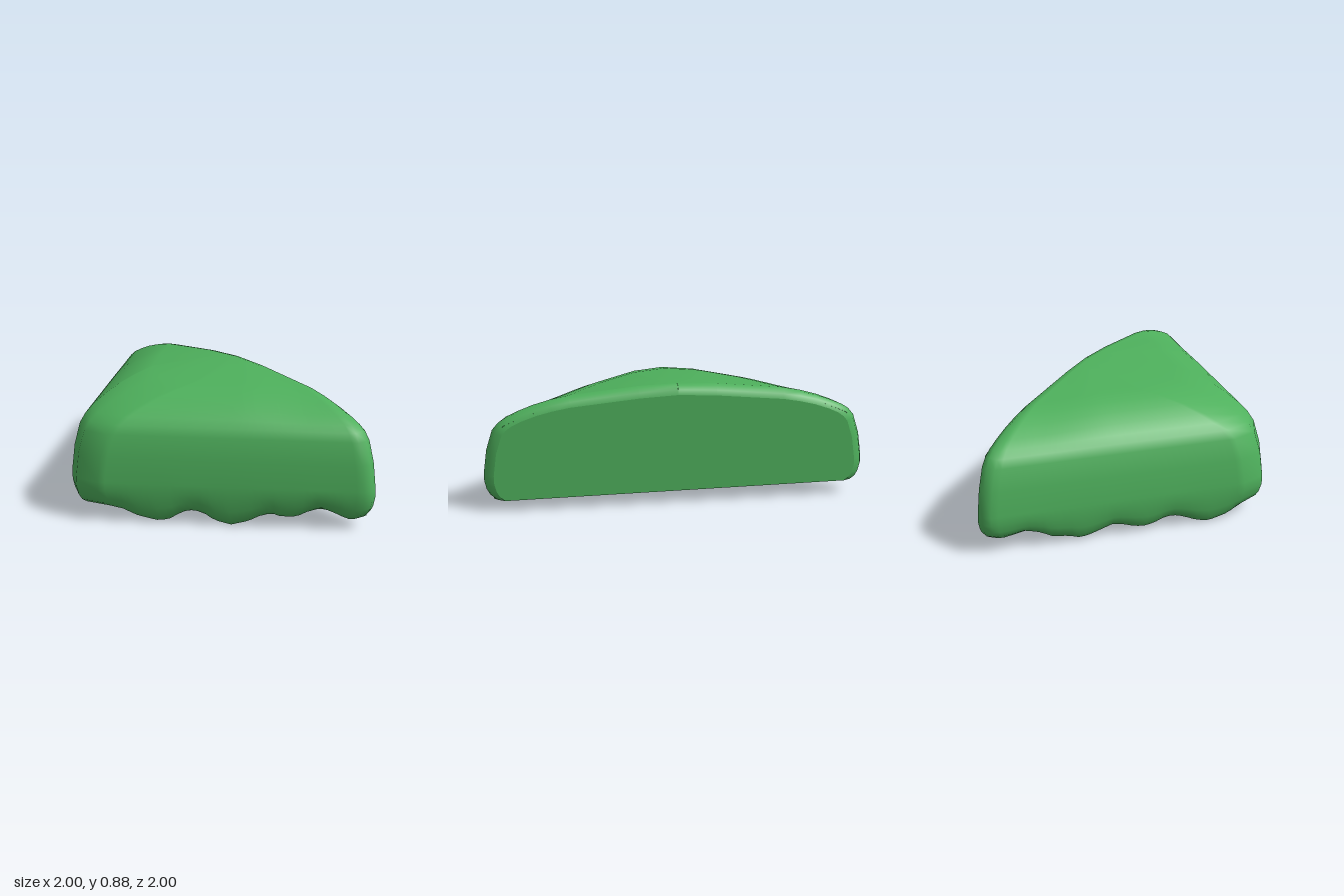
import * as THREE from 'three';
import { mergeVertices } from 'three/addons/utils/BufferGeometryUtils.js';

const green = new THREE.MeshStandardMaterial({ color: 0x4eb05c, side: THREE.DoubleSide });
green.name = 'leaf green';

const R = 0.07;    // rounding where the walls meet the diagonal cut
const CUT = 0.1;   // diagonal cut plane: x - z = CUT
const WALL = 36, ARC = 1, BEVEL = 3;

// Cross-section [inset from wall, height], bottom to top
const OUTER = [[0.05, 0], [0.025, 0.04], [0.01, 0.1], [0, 0.19], [0, 0.28], [0.018, 0.45], [0.05, 0.59], [0.08, 0.645],
  [0.12, 0.69], [0.18, 0.735], [0.26, 0.782], [0.35, 0.818], [0.45, 0.845], [0.8, 0.875], [1, 0.885]];
const INNER = [[0.08, 0], [0.07, 0.1], [0.06, 0.28], [0.075, 0.44], [0.11, 0.56], [0.17, 0.64],
  [0.3, 0.73], [0.47, 0.785], [0.8, 0.815], [1.045, 0.825]];

// Wavy hem heights [position along wall, height]
const SIDE_HEM = [[-0.95, 0.11], [-0.85, 0.1], [-0.7, 0.13], [-0.6, 0.1], [-0.53, 0.06], [-0.42, 0.045], [-0.34, 0.02],
  [-0.28, 0.03], [-0.12, 0.085], [-0.06, 0.075], [0.03, 0.045], [0.1, 0.035], [0.17, 0.05], [0.24, 0.08], [0.3, 0.085],
  [0.37, 0.065], [0.46, 0.025], [0.55, 0.003], [0.67, 0.035], [0.75, 0.075], [0.87, 0.095]];
const FRONT_HEM = [[-0.87, 0.095], [-0.8, 0.09], [-0.73, 0.105], [-0.63, 0.085], [-0.53, 0.04], [-0.39, 0.01],
  [-0.31, 0.03], [-0.24, 0.08], [-0.17, 0.095], [-0.1, 0.08], [-0.03, 0.03], [0.08, 0.002], [0.2, 0.035], [0.28, 0.08],
  [0.34, 0.095], [0.4, 0.075], [0.48, 0.075], [0.53, 0.09], [0.6, 0.13], [0.65, 0.145], [0.72, 0.125], [0.83, 0.075],
  [0.9, 0.08], [0.96, 0.095]];

function lookup(table, s) {
  if (s <= table[0][0]) return table[0][1];
  for (let i = 1; i < table.length; i++) {
    const [a, ya] = table[i - 1], [b, yb] = table[i];
    if (s <= b) return ya + (yb - ya) * (s - a) / (b - a);
  }
  return table[table.length - 1][1];
}

// Outward normal of the outer cross-section as [outward, up]
function sectionNormal(i) {
  if (i === OUTER.length - 1) return [0, 1];
  const a = OUTER[Math.max(i - 1, 0)], b = OUTER[i + 1];
  const out = b[1] - a[1], up = Math.max(b[0] - a[0], 0), l = Math.hypot(out, up);
  return [out / l, up / l];
}

// Half of one contour: from the cut edge along the side wall to the middle of the corner
function halfContour([d, y], normal) {
  const pts = [];
  const x = -1 + d;
  let zEnd = Math.max(x - CUT + 0.01, -0.95);
  if (normal) {
    // Rounded edge rolling from the wall onto the diagonal face
    const n = new THREE.Vector3(-normal[0], normal[1], 0);
    const h = new THREE.Vector3(Math.SQRT1_2, 0, -Math.SQRT1_2);
    const cx = x + R * normal[0];
    zEnd = cx - CUT + R * Math.SQRT2;
    const c = new THREE.Vector3(cx, y - R * normal[1], zEnd);
    const w = n.angleTo(h);
    for (let k = BEVEL; k > 0; k--) {
      const t = k / BEVEL;
      pts.push(c.clone().addScaledVector(n, R * Math.sin((1 - t) * w) / Math.sin(w))
        .addScaledVector(h, R * Math.sin(t * w) / Math.sin(w)));
    }
  } else {
    for (let k = 0; k < BEVEL; k++) pts.push(new THREE.Vector3(x, y, zEnd));
  }
  const leg = Math.max(1 - d - zEnd, 0);
  const r = Math.min(0.22 + 0.3 * d, 0.45 * leg);
  for (let k = 0; k < WALL; k++) pts.push(new THREE.Vector3(x, y, zEnd + (leg - r) * k / WALL));
  for (let k = 0; k <= ARC; k++) {
    const a = Math.PI / 4 * k / ARC;
    pts.push(new THREE.Vector3(x + r - r * Math.cos(a), y, 1 - d - r + r * Math.sin(a)));
  }
  // The top sinks slightly toward the pointed end
  pts.forEach(p => {
    p.y -= 0.022 * THREE.MathUtils.smoothstep(-p.z, 0.1, 0.6) * THREE.MathUtils.smoothstep(p.y, 0.6, 0.8);
  });
  return pts;
}

// Full contour: side wall, corner, then the mirrored front wall, with the hem applied
function contour(section, normal) {
  const side = halfContour(section, normal);
  const front = side.slice(0, -1).reverse().map(p => new THREE.Vector3(-p.z, p.y, -p.x));
  const fade = Math.max(0, 1 - section[1] / 0.28);
  side.forEach(p => { p.y += fade * lookup(SIDE_HEM, p.z); });
  front.forEach(p => { p.y += fade * lookup(FRONT_HEM, p.x); });
  return [...side, ...front];
}

function createShell(rows) {
  const cols = rows[0].length, index = [];
  for (let i = 0; i < rows.length - 1; i++) {
    for (let j = 0; j < cols - 1; j++) {
      const a = i * cols + j, b = a + cols;
      index.push(a, a + 1, b, a + 1, b + 1, b);
    }
  }
  const geo = new THREE.BufferGeometry().setFromPoints(rows.flat());
  geo.setIndex(index);
  const welded = mergeVertices(geo, 0.002);
  welded.computeVertexNormals();
  return welded;
}

export function createModel() {
  const group = new THREE.Group();
  group.name = 'corner foliage block';

  // Hollow rounded shell: inside ceiling down to the hem, then up the outside
  const outerRows = OUTER.map((s, i) => contour(s, sectionNormal(i)));
  const innerRows = INNER.map(s => contour(s, null)).reverse();
  const shell = new THREE.Mesh(createShell([...innerRows, ...outerRows]), green);
  shell.name = 'foliage shell';
  group.add(shell);

  // Flat diagonal face closing the cut
  const last = outerRows[0].length - 1;
  const outline = [...outerRows.map(r => r[0]), ...outerRows.map(r => r[last]).reverse().slice(1)];
  const shape = new THREE.Shape(outline.map(p => new THREE.Vector2(-(p.x + p.z) * Math.SQRT1_2, p.y)));
  const face = new THREE.Mesh(new THREE.ShapeGeometry(shape), green);
  face.name = 'diagonal face';
  face.rotation.y = 3 * Math.PI / 4;
  face.position.set(CUT / 2, 0, -CUT / 2);
  group.add(face);

  return group;
}
